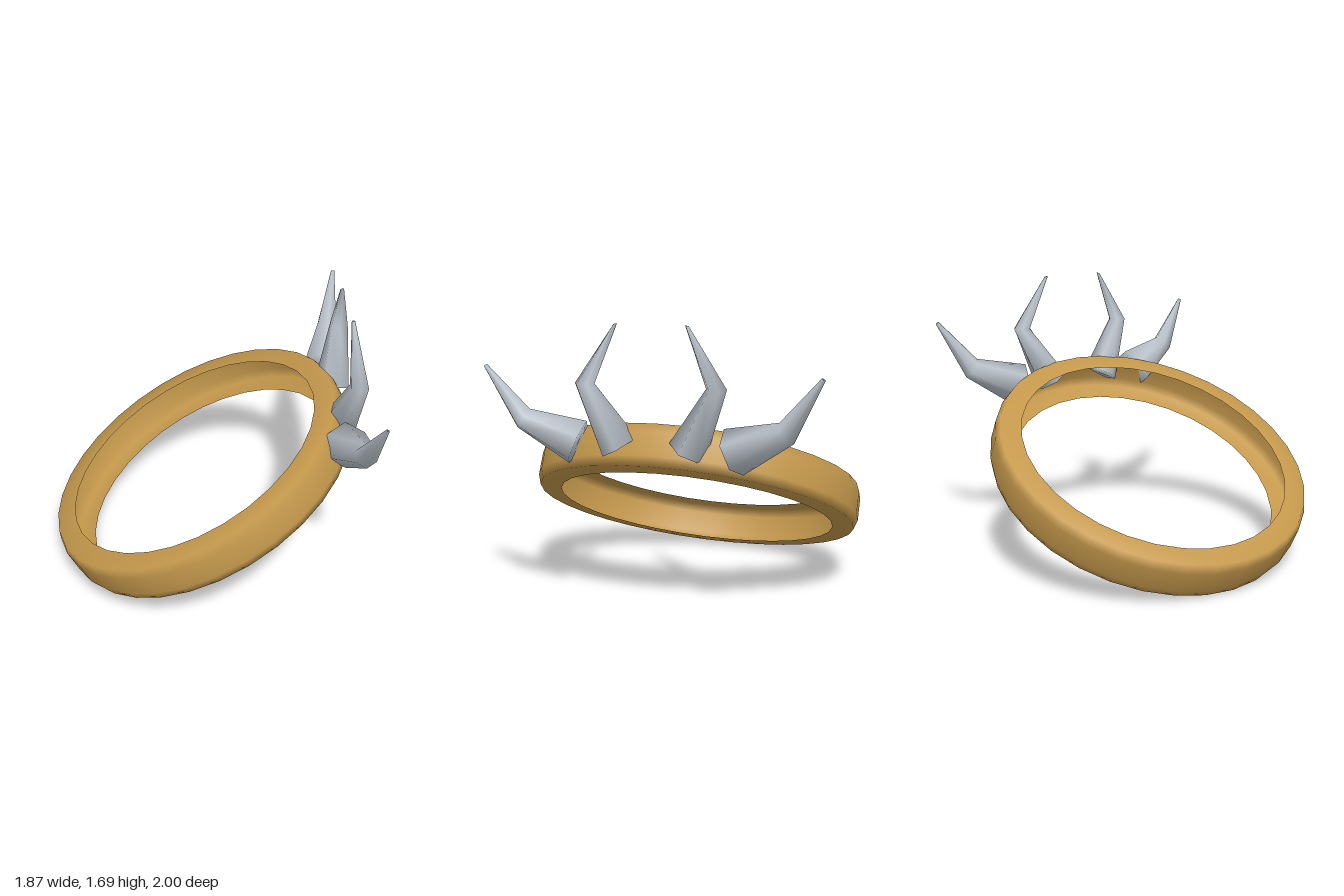
import * as THREE from 'three';

const SIDES = 6;
const gold = new THREE.MeshStandardMaterial({ color: 0xc4984c, side: THREE.DoubleSide });
gold.name = 'gold';
const steel = new THREE.MeshStandardMaterial({ color: 0xb9c1c9 });
steel.name = 'pale steel';

// Bent hexagonal spike: each section has a centre and the spoke to its first corner
function spike(name, sections, side) {
  const flip = ([x, y, z]) => new THREE.Vector3(x, y, z * side);
  const centres = sections.map((s) => flip(s.centre));
  const last = sections.length - 1;
  const vertices = sections.flatMap((s, i) => {
    const p = flip(s.spoke);
    const axis = centres[Math.min(i + 1, last)].clone().sub(centres[Math.max(i - 1, 0)]);
    const q = axis.cross(p).setLength(p.length());
    return Array.from({ length: SIDES }, (_, j) => {
      const a = (j / SIDES) * Math.PI * 2;
      return centres[i].clone().addScaledVector(p, Math.cos(a)).addScaledVector(q, Math.sin(a));
    });
  });

  const index = [];
  for (let i = 0; i < last; i++) {
    for (let j = 0; j < SIDES; j++) {
      const a = i * SIDES + j;
      const b = i * SIDES + ((j + 1) % SIDES);
      index.push(a, b, a + SIDES, b, b + SIDES, a + SIDES);
    }
  }
  // Closed ends, shaded softly into the sides
  const tip = last * SIDES;
  for (let j = 1; j < SIDES - 1; j++) {
    index.push(0, j + 1, j, tip, tip + j, tip + j + 1);
  }

  const geometry = new THREE.BufferGeometry().setFromPoints(vertices);
  geometry.setIndex(index);
  geometry.computeVertexNormals();
  const mesh = new THREE.Mesh(geometry, steel);
  mesh.name = name;
  return mesh;
}

export function createModel() {
  const model = new THREE.Group();
  model.name = 'spikedBand';

  // Tilted hollow band: a channel open towards the middle
  const profile = [[0.85, -0.118], [0.98, -0.115], [1, -0.06], [1, 0.08], [0.98, 0.133], [0.85, 0.135]];
  const band = new THREE.Mesh(
    new THREE.LatheGeometry(profile.map(([r, y]) => new THREE.Vector2(r, y)), 32),
    gold,
  );
  band.name = 'band';
  band.rotation.z = THREE.MathUtils.degToRad(28);
  band.position.set(-0.01, 0.565, 0);
  model.add(band);

  const innerSpike = [
    { centre: [0.824, 1.008, 0.2], spoke: [0.042, 0.045, -0.0925] },
    { centre: [0.878, 1.362, 0.378], spoke: [0, 0, -0.058] },
    { centre: [0.848, 1.69, 0.205], spoke: [0, 0.003, -0.011] },
  ];
  const outerSpike = [
    { centre: [0.81, 1.013, 0.455], spoke: [0, 0.125, -0.055] },
    { centre: [0.868, 1.145, 0.76], spoke: [0, 0.055, -0.04] },
    { centre: [0.92, 1.445, 0.96], spoke: [0, 0.006, -0.01] },
  ];

  // Two spikes on each side, mirrored across the centre
  for (const [label, side] of [['Front', 1], ['Back', -1]]) {
    model.add(spike('innerSpike' + label, innerSpike, side));
    model.add(spike('outerSpike' + label, outerSpike, side));
  }
  return model;
}
